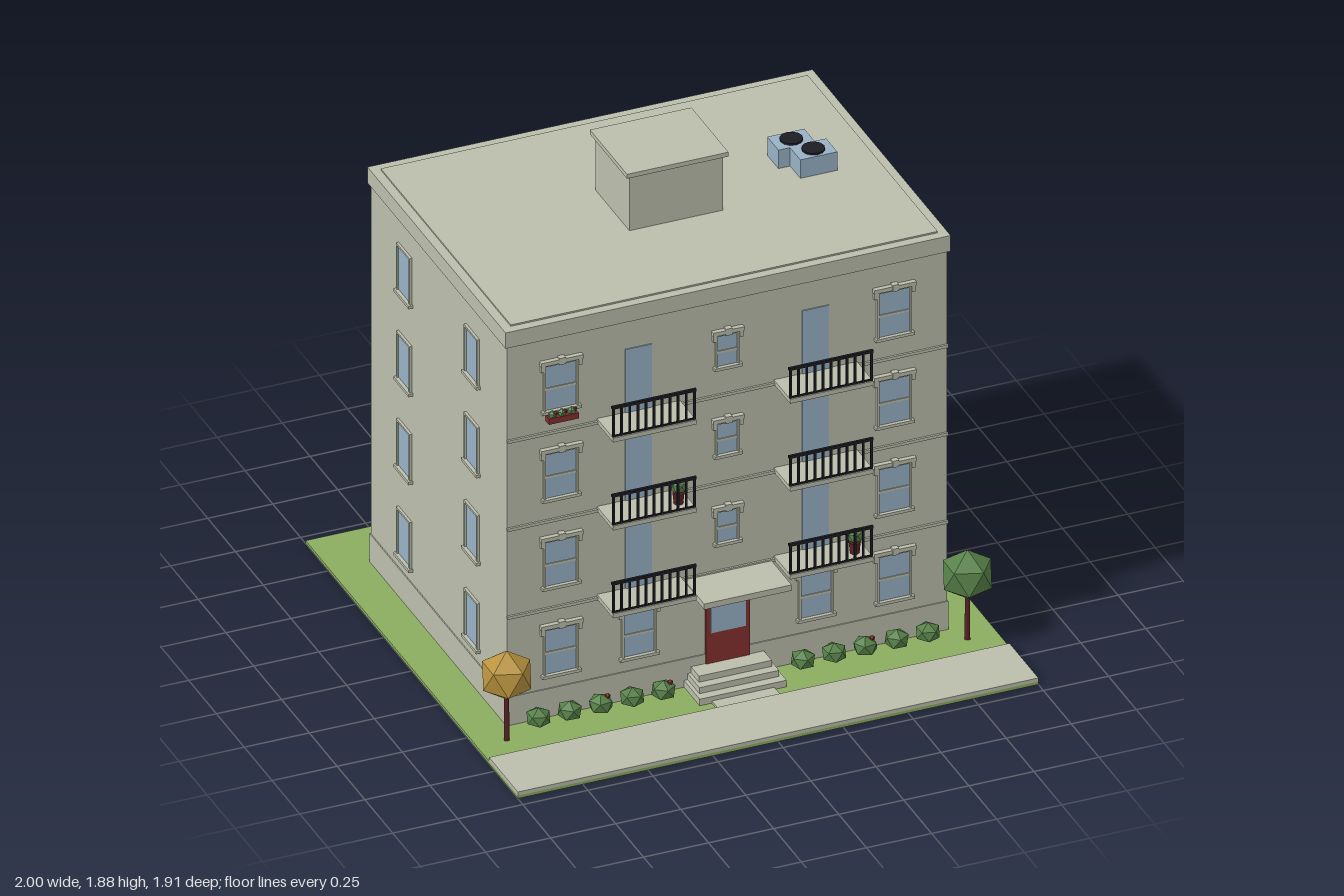
import * as THREE from 'three';

const mat = (name, color, flatShading = false) => {
  const m = new THREE.MeshStandardMaterial({ color });
  m.name = name;
  m.flatShading = flatShading;
  return m;
};

export function createModel() {
  const root = new THREE.Group();
  root.name = 'apartmentBuilding';
  const stone = mat('stone', 0xbcbeac), glass = mat('glass', 0x98b1c5), grass = mat('grass', 0x8bad60);
  const red = mat('doorRed', 0x85302f), black = mat('ironBlack', 0x1c1c24);
  const bark = mat('bark', 0x5c2226), leaf = mat('leafGreen', 0x568048, true);
  const gold = mat('leafGold', 0xb8923e, true);

  const add = (parent, name, geo, m, x, y, z) => {
    const mesh = new THREE.Mesh(geo, m);
    mesh.name = name;
    mesh.position.set(x, y, z);
    parent.add(mesh);
    return mesh;
  };
  // Box given by its minimum and maximum corners
  const box = (parent, name, m, x0, x1, y0, y1, z0, z1) =>
    add(parent, name, new THREE.BoxGeometry(x1 - x0, y1 - y0, z1 - z0), m,
      (x0 + x1) / 2, (y0 + y1) / 2, (z0 + z1) / 2);
  const group = (name, x = 0, y = 0, z = 0, ry = 0) => {
    const g = new THREE.Group();
    g.name = name;
    g.position.set(x, y, z);
    g.rotation.y = ry;
    root.add(g);
    return g;
  };
  // Faceted ball standing on a vertex
  const ball = (parent, name, m, r, x, y, z, spin = 0) => {
    const geo = new THREE.IcosahedronGeometry(r, 0);
    geo.rotateX(-1.0172);
    geo.rotateY(spin);
    return add(parent, name, geo, m, x, y, z);
  };

  const FRONT = 0.495, BACK = -0.73, SIDE = 0.845, STOREY = 0.362;

  // Ground
  box(root, 'lawn', grass, -1, 1, 0, 0.012, -0.955, 0.955);
  box(root, 'sidewalk', stone, -1, 1, 0.012, 0.027, 0.695, 0.955);

  // Main block, plinth, parapet and roof
  box(root, 'walls', stone, -SIDE, SIDE, 0.012, 1.6, BACK, FRONT);
  box(root, 'plinth', stone, -SIDE - 0.004, SIDE + 0.004, 0.012, 0.128, BACK - 0.004, FRONT + 0.004);
  box(root, 'parapet', stone, -0.855, 0.855, 1.57, 1.635, BACK - 0.008, FRONT + 0.01);
  box(root, 'roofDeck', stone, -0.82, 0.82, 1.635, 1.641, -0.7, 0.47);
  for (let i = 0; i < 3; i++)
    box(root, 'floorBand', stone, -SIDE - 0.002, SIDE + 0.002, 0.45 + i * STOREY, 0.462 + i * STOREY, FRONT, FRONT + 0.008);

  // Roof house and cooling units
  box(root, 'roofHouse', stone, -0.18, 0.18, 1.63, 1.866, -0.265, 0.038);
  box(root, 'roofHouseCap', stone, -0.195, 0.195, 1.866, 1.884, -0.282, 0.052);
  for (const [x, z] of [[0.543, -0.198], [0.588, -0.106]]) {
    box(root, 'coolingUnit', glass, x - 0.071, x + 0.071, 1.64, 1.717, z - 0.05, z + 0.05);
    add(root, 'coolingFan', new THREE.CylinderGeometry(0.042, 0.042, 0.008, 12), black, x, 1.72, z);
  }

  // Window facing local +z, with its sill at the local origin
  function addWindow(name, w, h, x, y, z, ry, ornate) {
    const g = group(name, x, y, z, ry);
    const a = w / 2, t = 0.008, d = 0.01;
    box(g, 'pane', glass, -a, a, 0.008, h, 0, 0.003);
    for (const s of [-1, 1])
      box(g, 'jamb', stone, s * a - t / 2, s * a + t / 2, 0.008, h, 0, d);
    box(g, 'head', stone, -a - t / 2, a + t / 2, h, h + t, 0, d);
    box(g, 'sill', stone, -a - 0.012, a + 0.012, -0.004, 0.008, 0, 0.017);
    if (!ornate) return;
    box(g, 'crossbar', stone, -a, a, h * 0.5 - 0.005, h * 0.5 + 0.005, 0, 0.006);
    box(g, 'hood', stone, -a - 0.018, a + 0.018, h + t, h + 0.024, 0, 0.018);
    box(g, 'keystone', stone, -0.012, 0.012, h + 0.004, h + 0.031, 0, 0.021);
    for (const s of [-1, 1])
      box(g, 'hoodBracket', stone, s * (a + 0.009) - 0.007, s * (a + 0.009) + 0.007, h - 0.018, h + t, 0, 0.014);
  }

  // Windows on all four sides
  for (let f = 0; f < 4; f++) {
    const y = 0.181 + f * STOREY;
    for (const x of f === 0 ? [-0.64, -0.34, 0.34, 0.64] : [-0.64, 0.64])
      addWindow('frontWindow', 0.126, 0.19, x, y, FRONT, 0, true);
    if (f > 0) addWindow('stairWindow', 0.084, 0.134, 0, y + 0.026, FRONT, 0, true);
    for (let c = -2; c <= 2; c++)
      addWindow('backWindow', 0.118, 0.19, c * 0.336, y, BACK, Math.PI, false);
    for (const s of [-1, 1])
      for (const z of [0.188, -0.42])
        addWindow('sideWindow', 0.114, 0.19, s * SIDE, y, z, s * Math.PI / 2, false);
  }

  // Balconies with glass doors and front railings
  for (let f = 0; f < 3; f++)
    for (const s of [-1, 1]) {
      const g = group('balcony', s * 0.34, 0.452 + f * STOREY, FRONT);
      box(g, 'balconyDoor', glass, -0.051, 0.051, 0.018, 0.278, 0, 0.004);
      box(g, 'balconySlab', stone, -0.16, 0.16, 0, 0.018, 0, 0.147);
      box(g, 'topRail', black, -0.162, 0.162, 0.133, 0.144, 0.134, 0.144);
      box(g, 'bottomRail', black, -0.16, 0.16, 0.018, 0.024, 0.136, 0.142);
      for (let i = 0; i < 11; i++) {
        const x = -0.155 + i * 0.031;
        box(g, 'baluster', black, x - 0.004, x + 0.004, 0.018, 0.135, 0.135, 0.143);
      }
    }

  // Potted plants on two balconies
  for (const [x, y] of [[-0.225, 0.832], [0.452, 0.47]]) {
    add(root, 'pot', new THREE.CylinderGeometry(0.023, 0.018, 0.045, 8), bark, x, y + 0.0225, 0.585);
    ball(root, 'potPlant', leaf, 0.031, x, y + 0.068, 0.585);
  }

  // Flower box below the top left window
  box(root, 'flowerBox', red, -0.7, -0.585, 1.235, 1.258, FRONT + 0.005, 0.532);
  for (let i = 0; i < 3; i++) {
    ball(root, 'boxPlant', leaf, 0.018, -0.68 + i * 0.0375, 1.262, 0.515, i);
    ball(root, 'boxFlower', red, 0.008, -0.67 + i * 0.0375, 1.272, 0.522, i);
  }

  // Entrance door, canopy, steps and path
  box(root, 'entranceDoor', red, -0.085, 0.085, 0.09, 0.38, FRONT, FRONT + 0.009);
  box(root, 'entranceGlass', glass, -0.067, 0.067, 0.215, 0.37, FRONT + 0.009, FRONT + 0.013);
  box(root, 'canopy', stone, -0.168, 0.168, 0.432, 0.456, FRONT, 0.683);
  [[0.14, 0.57, 0.09], [0.153, 0.605, 0.065], [0.167, 0.64, 0.04]].forEach(([a, z, y]) =>
    box(root, 'step', stone, -a, a, y - 0.027, y, FRONT, z));
  box(root, 'path', stone, -0.12, 0.12, 0.012, 0.022, 0.6, 0.695);

  // Bushes along the front wall, some with blossoms
  for (const s of [-1, 1])
    for (let i = 0; i < 5; i++) {
      const x = s * (0.268 + i * 0.12);
      const bush = ball(root, 'bush', leaf, 0.048, x, 0.053, 0.55, i * 0.4);
      bush.scale.y = 0.82;
      if ((s < 0 && i % 2 === 0 && i < 4) || (s > 0 && i === 2))
        ball(root, 'blossom', red, 0.011, x + 0.022, 0.085, 0.56);
    }

  // Street trees
  for (const [s, m] of [[-1, gold], [1, leaf]]) {
    add(root, 'treeTrunk', new THREE.CylinderGeometry(0.009, 0.011, 0.21, 8), bark, s * 0.885, 0.115, 0.585);
    ball(root, 'treeCrown', m, 0.1, s * 0.885, 0.278, 0.585, 0.3);
  }
  return root;
}
